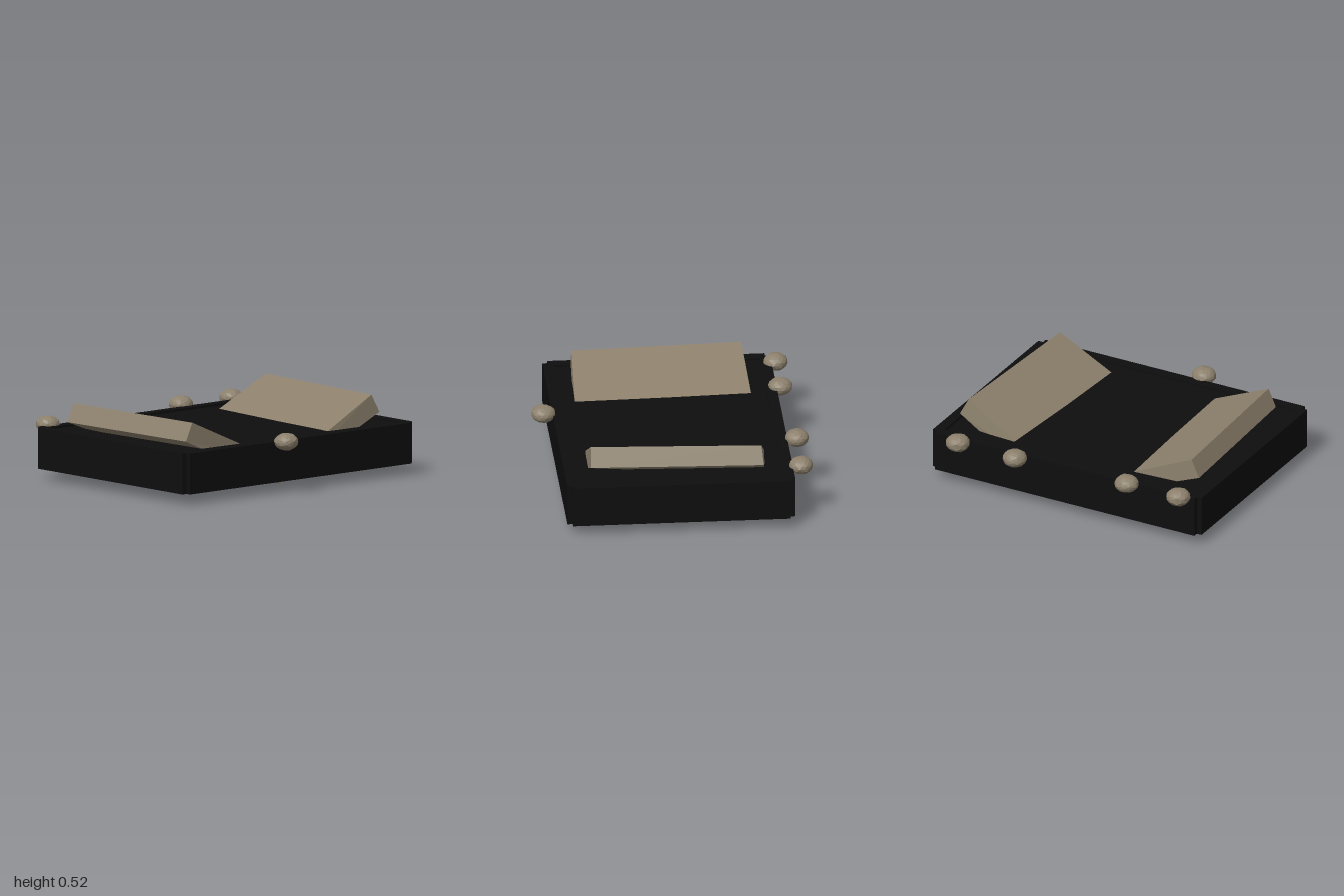
import * as THREE from 'three';

const black = new THREE.MeshStandardMaterial({ color: 0x0e0e0e });
black.name = 'black';
const stone = new THREE.MeshStandardMaterial({ color: 0x8c806c });
stone.name = 'stone';

function addBox(group, name, size, position) {
  const mesh = new THREE.Mesh(new THREE.BoxGeometry(...size), black);
  mesh.name = name;
  mesh.position.set(...position);
  group.add(mesh);
}

// Box whose eight corners are moved to given points, keyed by edge:
// each edge runs along z and is listed as [back point, front point].
function slabGeometry({ lowMinX, lowMaxX, highMinX, highMaxX }) {
  const geo = new THREE.BoxGeometry(1, 1, 1).toNonIndexed();
  const pos = geo.attributes.position;
  for (let i = 0; i < pos.count; i++) {
    const edges = pos.getY(i) > 0 ? [highMinX, highMaxX] : [lowMinX, lowMaxX];
    const edge = edges[pos.getX(i) > 0 ? 1 : 0];
    pos.setXYZ(i, ...edge[pos.getZ(i) > 0 ? 1 : 0]);
  }
  geo.computeVertexNormals();
  return geo;
}

// Squashed pebble with slightly uneven facets
function pebbleGeometry(seed) {
  const geo = new THREE.IcosahedronGeometry(1, 2);
  const pos = geo.attributes.position;
  const v = new THREE.Vector3();
  for (let i = 0; i < pos.count; i++) {
    v.fromBufferAttribute(pos, i);
    const bump = Math.sin(v.x * 7 + seed) * Math.sin(v.y * 8 + seed * 2) * Math.cos(v.z * 6 - seed);
    v.multiplyScalar(1 + 0.05 * bump);
    pos.setXYZ(i, v.x * 0.08, v.y * 0.057, v.z * 0.08);
  }
  geo.computeVertexNormals();
  return geo;
}

export function createModel() {
  const model = new THREE.Group();
  model.name = 'stonePool';

  // Rim walls, leaving small notches at the corners
  const height = 0.27, midY = 0.205, thick = 0.07;
  for (const s of [-1, 1]) {
    addBox(model, s > 0 ? 'frontWall' : 'backWall', [1.93, height, thick], [0, midY, s * 0.71]);
    addBox(model, s > 0 ? 'leftWall' : 'rightWall', [thick, height, 1.42], [s * 0.965, midY, 0]);
  }

  // Flat surface just below the rim
  addBox(model, 'surface', [1.88, 0.03, 1.37], [0, 0.31, 0]);

  // Two leaning slabs that pass through the surface
  const slabs = {
    leftSlab: {
      highMinX: [[0.09, 0.12, -0.63], [0.03, 0.14, 0.58]],
      highMaxX: [[0.83, 0.525, -0.535], [0.765, 0.525, 0.575]],
      lowMinX: [[0.152, 0.0, -0.62], [0.09, 0.07, 0.59]],
      lowMaxX: [[0.89, 0.41, -0.545], [0.83, 0.405, 0.58]],
    },
    rightSlab: {
      highMinX: [[-0.835, 0.505, -0.545], [-0.79, 0.505, 0.572]],
      highMaxX: [[-0.04, 0.16, -0.6], [0.0, 0.155, 0.59]],
      lowMinX: [[-0.89, 0.385, -0.545], [-0.845, 0.385, 0.57]],
      lowMaxX: [[-0.08, 0.08, -0.6], [-0.04, 0.025, 0.6]],
    },
  };
  for (const [name, corners] of Object.entries(slabs)) {
    const slab = new THREE.Mesh(slabGeometry(corners), stone);
    slab.name = name;
    model.add(slab);
  }

  // Pebbles along the front and back rims
  const spots = [[-0.86, -0.77], [-0.475, -0.77], [0.335, -0.81], [0.765, -0.8], [-0.18, 0.805]];
  spots.forEach(([x, z], i) => {
    const pebble = new THREE.Mesh(pebbleGeometry(i + 1), stone);
    pebble.name = 'pebble' + (i + 1);
    pebble.position.set(x, 0.343, z);
    model.add(pebble);
  });

  return model;
}
